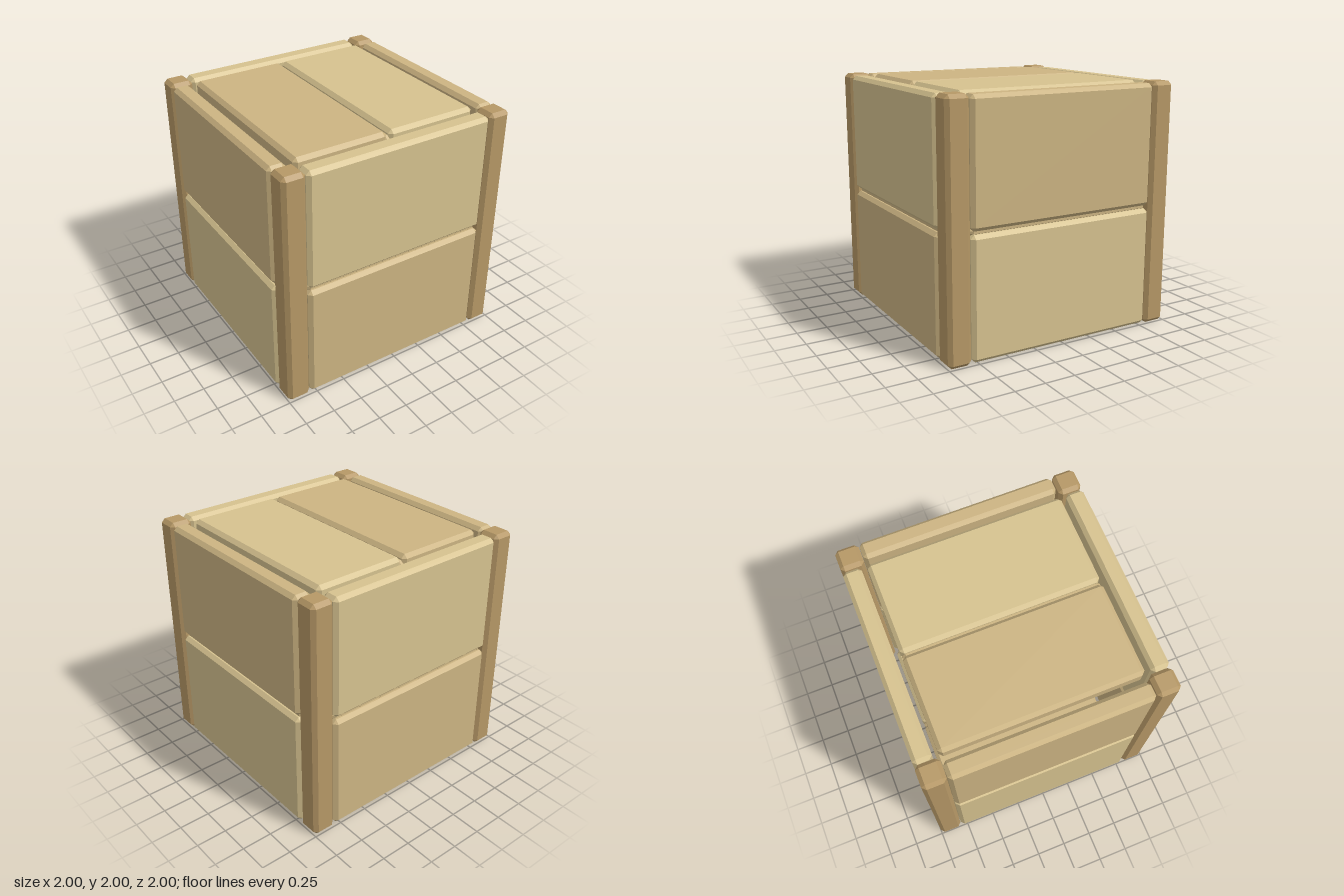
import * as THREE from 'three';
import { ConvexGeometry } from 'three/addons/geometries/ConvexGeometry.js';

const mat = (color) => new THREE.MeshStandardMaterial({ color, flatShading: true });

// Box with every edge cut at 45 degrees
function chamferedBox(w, h, d, c = 0.03) {
  const points = [];
  for (const sx of [-1, 1]) for (const sy of [-1, 1]) for (const sz of [-1, 1]) {
    const x = w / 2, y = h / 2, z = d / 2;
    points.push(
      new THREE.Vector3(sx * x, sy * (y - c), sz * (z - c)),
      new THREE.Vector3(sx * (x - c), sy * y, sz * (z - c)),
      new THREE.Vector3(sx * (x - c), sy * (y - c), sz * z));
  }
  return new ConvexGeometry(points);
}

export function createModel() {
  const group = new THREE.Group();
  const lightWood = mat(0xd6c28f), midWood = mat(0xccb482), postWood = mat(0xb69866);

  const add = (parent, name, geometry, material, x, y, z) => {
    const mesh = new THREE.Mesh(geometry, material);
    mesh.name = name;
    mesh.position.set(x, y, z);
    parent.add(mesh);
  };

  // Corner posts
  const post = chamferedBox(0.19, 2, 0.19);
  for (const x of [-0.905, 0.905]) for (const z of [-0.905, 0.905])
    add(group, 'cornerPost', post, postWood, x, 1, z);

  // Four walls: two stacked planks with a batten behind the joint
  const wallPlank = chamferedBox(1.61, 0.978, 0.15);
  const wallBatten = chamferedBox(1.6, 0.08, 0.09);
  ['frontWall', 'leftWall', 'backWall', 'rightWall'].forEach((name, i) => {
    const wall = new THREE.Group();
    wall.name = name;
    const swap = i % 2 === 1;
    add(wall, 'upperPlank', wallPlank, swap ? midWood : lightWood, 0, 1.502, 0.925);
    add(wall, 'lowerPlank', wallPlank, swap ? lightWood : midWood, 0, 0.498, 0.925);
    add(wall, 'wallBatten', wallBatten, midWood, 0, 1, 0.915);
    wall.rotation.y = i * Math.PI / 2;
    group.add(wall);
  });

  // Lid and floor: two boards side by side with a batten inside the joint
  const board = chamferedBox(0.785, 0.15, 1.61);
  const batten = chamferedBox(0.08, 0.09, 1.6);
  for (const [name, y, inward] of [['lid', 1.925, -1], ['floor', 0.075, 1]]) {
    add(group, name + 'BoardRight', board, midWood, -0.403, y, 0);
    add(group, name + 'BoardLeft', board, lightWood, 0.403, y, 0);
    add(group, name + 'Batten', batten, midWood, 0, y + inward * 0.01, 0);
  }
  return group;
}
